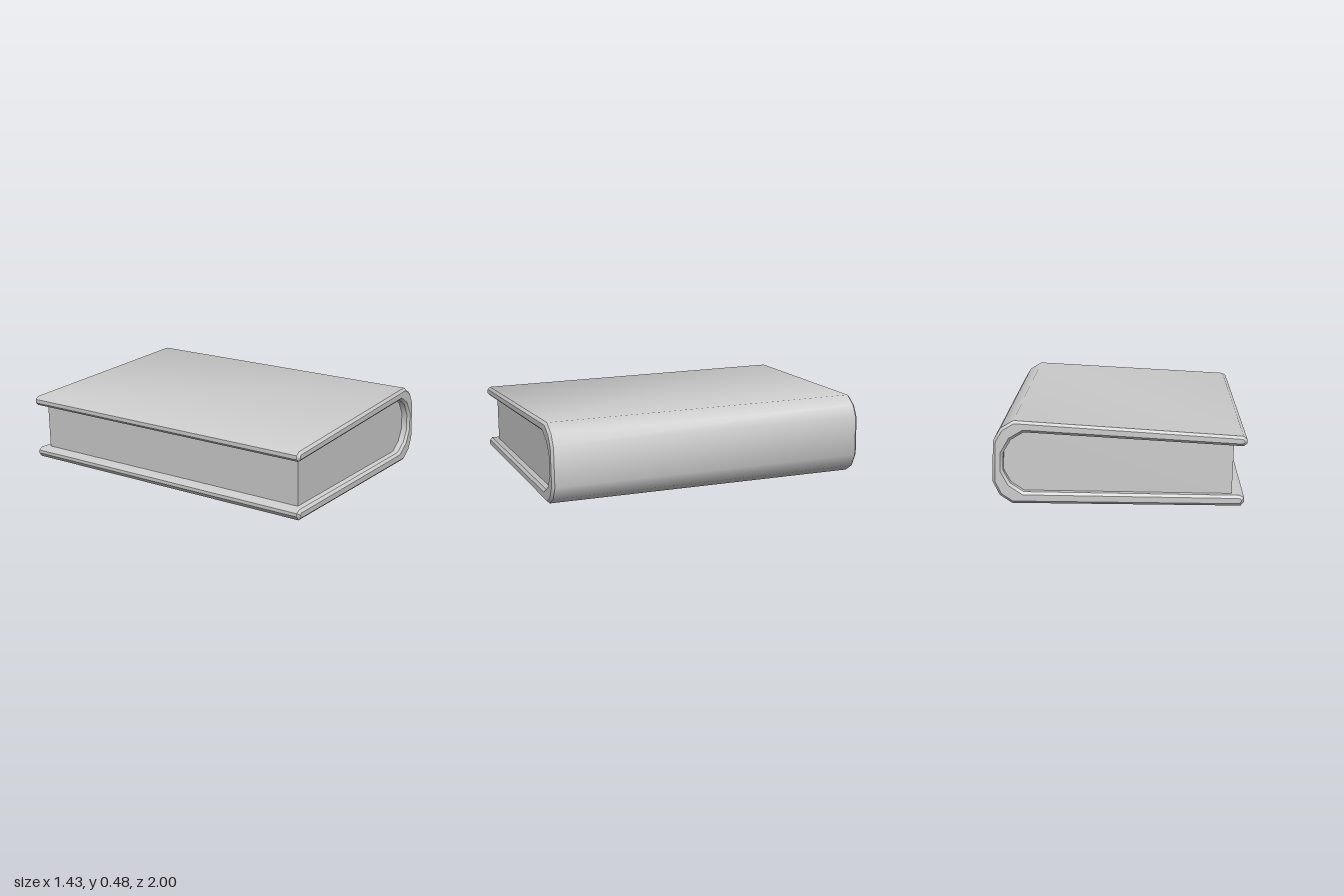
import * as THREE from 'three';
import { toCreasedNormals } from 'three/addons/utils/BufferGeometryUtils.js';

const material = new THREE.MeshStandardMaterial({ color: 0xcccccc });

// The front and back ends are slightly skewed: z at the fore edge and at the spine
const endZ = (x, foreEdge, spine) => THREE.MathUtils.mapLinear(x, -0.715, 0.71, foreEdge, spine);

// Extrude a profile along z, then fit its ends to the skewed front and back
function slab(name, points, inset, bevel) {
  const shape = new THREE.Shape(points.map(([x, y]) => new THREE.Vector2(x, y)));
  const geometry = new THREE.ExtrudeGeometry(shape, {
    depth: 2 - 2 * bevel,
    bevelEnabled: bevel > 0,
    bevelSize: bevel,
    bevelOffset: -bevel,
    bevelThickness: bevel,
    bevelSegments: 1,
  });
  const position = geometry.attributes.position;
  for (let i = 0; i < position.count; i++) {
    const x = position.getX(i);
    const t = (position.getZ(i) + bevel) / 2;
    const back = endZ(x, -1, -0.98) + inset;
    const front = endZ(x, 1, 0.94) - inset;
    position.setZ(i, THREE.MathUtils.lerp(back, front, t));
  }
  const mesh = new THREE.Mesh(toCreasedNormals(geometry, 0.65), material);
  mesh.name = name;
  return mesh;
}

export function createModel() {
  const book = new THREE.Group();
  book.name = 'book';

  // Wrap-around cover: outside of the bottom board, spine and top board, then the inside
  book.add(slab('cover', [
    [-0.705, 0.025], [-0.685, 0], [0.6, 0.004], [0.67, 0.05], [0.71, 0.13],
    [0.702, 0.365], [0.66, 0.436], [0.586, 0.48], [-0.695, 0.4], [-0.716, 0.383],
    [-0.716, 0.36], [-0.697, 0.343], [0.53, 0.413], [0.602, 0.37], [0.646, 0.295],
    [0.65, 0.195], [0.61, 0.12], [0.535, 0.07], [-0.68, 0.06], [-0.705, 0.045],
  ], 0, 0.015));

  // Page block, tucked slightly into the cover
  book.add(slab('pages', [
    [-0.636, 0.05], [0.54, 0.06], [0.62, 0.113], [0.661, 0.19], [0.657, 0.3],
    [0.61, 0.38], [0.535, 0.423], [-0.645, 0.356],
  ], 0.05, 0));

  return book;
}
